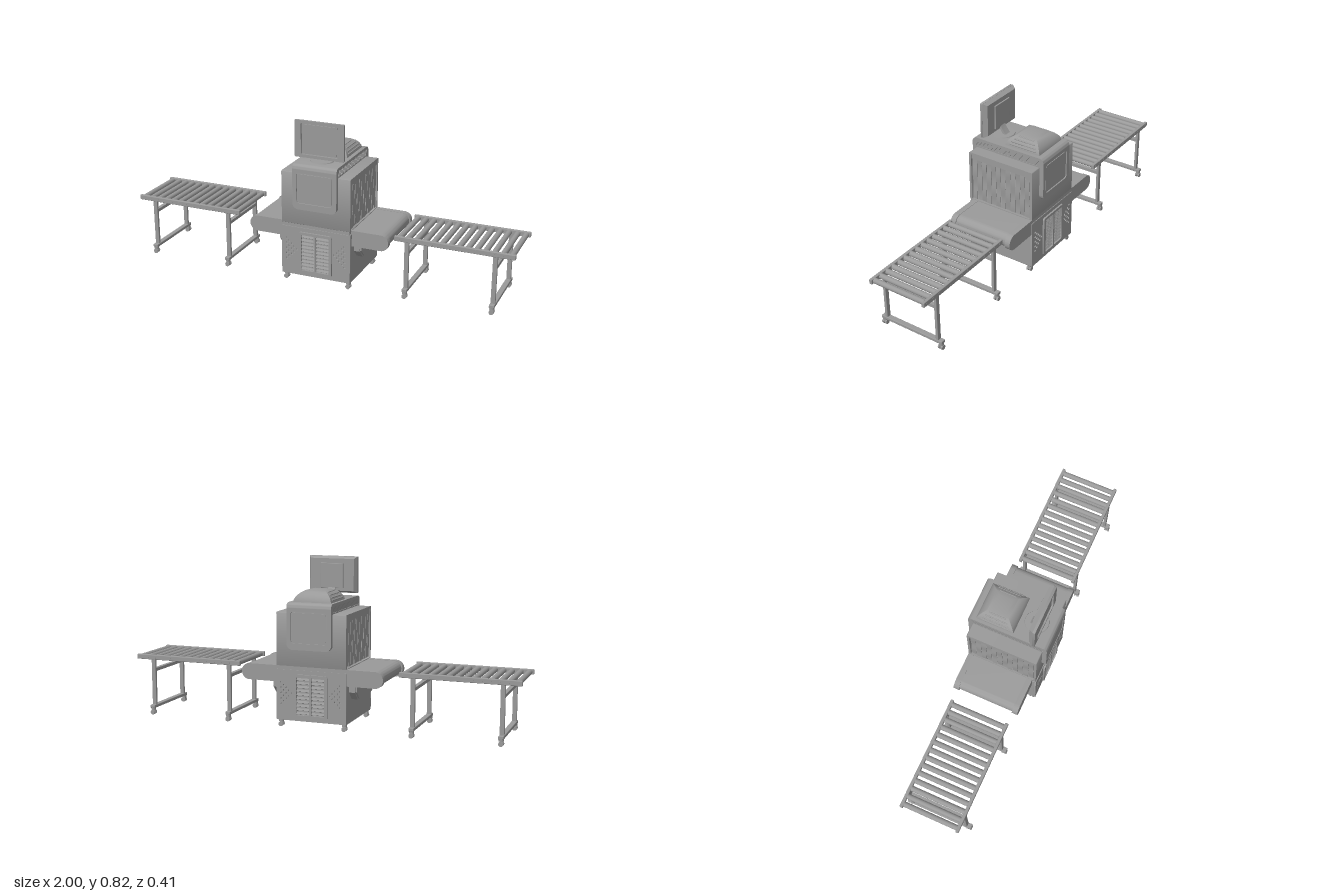
import * as THREE from 'three';
import { toCreasedNormals } from 'three/addons/utils/BufferGeometryUtils.js';
import { RoundedBoxGeometry } from 'three/addons/geometries/RoundedBoxGeometry.js';

const mat = new THREE.MeshStandardMaterial({ color: 0x9a9a9a, side: THREE.DoubleSide });
const CX = 0.021; // scanner centre line

function add(parent, name, geo, x = 0, y = 0, z = 0) {
  const m = new THREE.Mesh(geo, mat);
  m.name = name;
  m.position.set(x, y, z);
  parent.add(m);
  return m;
}
const group = (parent, name) => {
  const g = new THREE.Group();
  g.name = name;
  parent.add(g);
  return g;
};
// box from min/max pairs
function box(parent, name, x0, x1, y0, y1, z0, z1, r = 0) {
  const s = [x1 - x0, y1 - y0, z1 - z0];
  const g = r ? new RoundedBoxGeometry(...s, 2, r) : new THREE.BoxGeometry(...s);
  return add(parent, name, g, (x0 + x1) / 2, (y0 + y1) / 2, (z0 + z1) / 2);
}
// rounded rectangle; rb = bottom radius, rt = top radius
function roundRect(x0, y0, x1, y1, rb, rt = rb, path = new THREE.Shape()) {
  path.moveTo(x0 + rb, y0).lineTo(x1 - rb, y0);
  if (rb) path.absarc(x1 - rb, y0 + rb, rb, -Math.PI / 2, 0);
  path.lineTo(x1, y1 - rt);
  if (rt) path.absarc(x1 - rt, y1 - rt, rt, 0, Math.PI / 2);
  path.lineTo(x0 + rt, y1);
  if (rt) path.absarc(x0 + rt, y1 - rt, rt, Math.PI / 2, Math.PI);
  path.lineTo(x0, y0 + rb);
  if (rb) path.absarc(x0 + rb, y0 + rb, rb, Math.PI, Math.PI * 1.5);
  return path;
}
const hole = (x0, y0, x1, y1, r) => roundRect(x0, y0, x1, y1, r, r, new THREE.Path());
const points = list => list.map(q => new THREE.Vector2(...q));
const extrude = (shape, depth) =>
  toCreasedNormals(new THREE.ExtrudeGeometry(shape, { depth, bevelEnabled: false, curveSegments: 6 }), 0.6);
// shape drawn as (-z, y), extruded along x
const extrudeX = (shape, depth) => extrude(shape, depth).rotateY(Math.PI / 2);

// twin-wheel caster
function caster(parent, x, z) {
  const c = group(parent, 'caster');
  c.position.set(x, 0, z);
  for (const d of [-1, 1]) add(c, 'casterWheel', new THREE.CylinderGeometry(0.012, 0.012, 0.009, 16).rotateX(Math.PI / 2), 0, 0.012, d * 0.008);
  box(c, 'casterFork', -0.008, 0.008, 0.01, 0.03, -0.004, 0.004);
  add(c, 'casterPlate', new THREE.CylinderGeometry(0.012, 0.012, 0.012, 14), 0, 0.03, 0);
}

function rollerTable(parent, name, x0, x1, legXs) {
  const t = group(parent, name);
  t.position.z = -0.006;
  for (const s of [-1, 1]) box(t, 'sideRail', x0, x1, 0.285, 0.31, s * 0.148 - 0.008, s * 0.148 + 0.008, 0.003);
  const n = 14, pitch = (x1 - x0) / n;
  for (let i = 0; i < n; i++) {
    const x = x0 + pitch * (i + 0.5);
    add(t, 'roller', new THREE.CylinderGeometry(0.0135, 0.0135, 0.284, 14).rotateX(Math.PI / 2), x, 0.297, 0);
    add(t, 'rollerAxle', new THREE.CylinderGeometry(0.006, 0.006, 0.314, 8).rotateX(Math.PI / 2), x, 0.297, 0);
  }
  for (const x of legXs) {
    const f = group(t, 'legFrame');
    for (const s of [-1, 1]) {
      box(f, 'leg', x - 0.011, x + 0.011, 0.045, 0.29, s * 0.147 - 0.007, s * 0.147 + 0.007, 0.002);
      caster(f, x, s * 0.163);
    }
    box(f, 'lowerCrossbar', x - 0.013, x + 0.013, 0.034, 0.05, -0.175, 0.175, 0.003);
    box(f, 'upperCrossbar', x - 0.01, x + 0.01, 0.224, 0.24, -0.142, 0.142);
  }
}

// front or back cover, built facing +z
function servicePanel(parent) {
  const p = group(parent, 'servicePanel');
  const cover = roundRect(-0.182, 0.037, 0.182, 0.29, 0.004);
  cover.holes.push(hole(-0.078, 0.066, 0.078, 0.259, 0.004));
  // triangular fields of vent holes, widest at the outside
  for (const s of [-1, 1]) for (let c = 0; c < 5; c++) for (let r = 0; r <= c; r++)
    cover.holes.push(new THREE.Path().absarc(s * (0.1 + c * 0.0135), 0.172 + (r - c / 2) * 0.027, 0.0058, 0, Math.PI * 2));
  add(p, 'cover', extrude(cover, 0.009), 0, 0, 0.178);
  const frame = roundRect(-0.088, 0.055, 0.088, 0.27, 0.012);
  for (const s of [-1, 1]) frame.holes.push(hole(s * 0.039 - 0.034, 0.068, s * 0.039 + 0.034, 0.257, 0.006));
  add(p, 'louvreFrame', extrude(frame, 0.012), 0, 0, 0.184);
  for (const s of [-1, 1]) for (let i = 0; i < 10; i++) {
    const slat = add(p, 'louvreSlat', new THREE.BoxGeometry(0.068, 0.011, 0.003), s * 0.039, 0.078 + i * 0.0187, 0.188);
    slat.rotation.x = -0.5;
  }
}

// hood face with a groove outlining its rounded panel
function hoodArm(parent) {
  const a = group(parent, 'hoodArm');
  add(a, 'armEnd', extrude(roundRect(-0.115, 0.393, 0.115, 0.5, 0.028, 0), 0.017), 0, 0, 0.184);
  const skin = roundRect(-0.115, 0.393, 0.115, 0.597, 0.028, 0);
  skin.holes.push(hole(-0.094, 0.425, 0.094, 0.58, 0.016));
  add(a, 'armSkin', extrude(skin, 0.007), 0, 0, 0.2);
  add(a, 'inset', extrude(roundRect(-0.088, 0.431, 0.088, 0.574, 0.011), 0.005), 0, 0, 0.2);
  return a;
}

function curtain(parent, x) {
  const c = group(parent, 'curtain');
  for (let i = 0; i < 12; i++) {
    const g = new THREE.BoxGeometry(0.003, 0.225, 0.027, 1, 16, 1), p = g.attributes.position;
    for (let k = 0; k < p.count; k++) {
      const y = p.getY(k);
      p.setZ(k, p.getZ(k) * (0.985 + 0.035 * Math.sin(y * 90 + i * 2)));
      p.setX(k, p.getX(k) + 0.002 * Math.sin(y * 45 + i * 2.3));
    }
    g.computeVertexNormals();
    add(c, 'curtainStrip', toCreasedNormals(g, 0.6), x, 0.428, 0.154 - i * 0.028);
  }
}

function monitor(parent) {
  const m = group(parent, 'monitor');
  m.position.x = 0.0235;
  const bezel = roundRect(-0.128, 0.64, 0.128, 0.824, 0.004);
  bezel.holes.push(hole(-0.095, 0.655, 0.095, 0.81, 0.003));
  add(m, 'bezel', extrude(bezel, 0.013), 0, 0, 0.134);
  box(m, 'screen', -0.089, 0.089, 0.661, 0.804, 0.13, 0.14);
  const back = new THREE.BoxGeometry(0.256, 0.184, 0.022), p = back.attributes.position;
  for (let i = 0; i < p.count; i++) if (p.getZ(i) < 0) { p.setX(i, p.getX(i) * 0.9); p.setY(i, p.getY(i) * 0.88); }
  back.computeVertexNormals();
  add(m, 'backShell', back, 0, 0.732, 0.124);
  box(m, 'backPlate', -0.06, 0.06, 0.665, 0.79, 0.106, 0.114, 0.002);
  const neck = new THREE.Shape(points([[-0.107, 0.67], [-0.1, 0.655], [-0.077, 0.625], [-0.094, 0.625], [-0.112, 0.65]]));
  add(m, 'neck', extrudeX(neck, 0.036), -0.018, 0, 0);
  add(m, 'basePlate', new THREE.CylinderGeometry(0.058, 0.06, 0.005, 28), 0, 0.6235, 0.105);
}

export function createModel() {
  const root = new THREE.Group();
  root.name = 'baggageScanner';
  rollerTable(root, 'rightRollerTable', -1, -0.415, [-0.912, -0.484]);
  rollerTable(root, 'leftRollerTable', 0.413, 1, [0.476, 0.906]);

  // lower cabinet
  const low = group(root, 'lowerCabinet');
  low.position.x = CX;
  box(low, 'cabinetBody', -0.182, 0.182, 0.035, 0.291, -0.179, 0.179, 0.003);
  box(low, 'cabinetTop', -0.178, 0.178, 0.288, 0.306, -0.183, 0.183);
  servicePanel(low);
  const rear = group(low, 'rearSide');
  rear.rotation.y = Math.PI;
  servicePanel(rear);
  // drive pods under the belt, stepped at the outer edge
  for (const [d, half] of [[0, 0.213], [0.006, 0.22]]) {
    const pod = new THREE.Shape(points([[-0.137 + d, 0.23 - d], [-0.137 + d, 0.192 + d / 2], [-0.095 + d / 2, 0.15 + d],
      [0.105 - d / 2, 0.15 + d], [0.144 - d, 0.19 + d / 2], [0.144 - d, 0.23 - d]]));
    add(low, 'drivePod', extrudeX(pod, half * 2), -half, 0, 0);
  }
  for (const x of [-0.166, 0.166]) for (const z of [0.164, -0.163]) caster(low, x, z);

  // belt conveyor with rounded side frames
  const belt = group(root, 'conveyor');
  add(belt, 'belt', extrude(roundRect(-0.338, 0.233, 0.383, 0.3065, 0.0365), 0.294), 0, 0, -0.156);
  for (const z of [0.136, -0.184]) add(belt, 'sideFrame', extrude(roundRect(-0.345, 0.227, 0.39, 0.308, 0.04), 0.029), 0, 0, z);

  // scanning tunnel, open at both ends
  const tunnel = group(root, 'tunnel');
  const ring = roundRect(-0.184, 0.306, 0.184, 0.572, 0.002, 0.006);
  ring.holes.push(hole(-0.172, 0.31, 0.172, 0.562, 0.002));
  add(tunnel, 'tunnelShell', extrudeX(ring, 0.362), CX - 0.181, 0, 0);
  for (const x of [CX - 0.174, CX + 0.174]) {
    curtain(tunnel, x);
    box(tunnel, 'curtainRail', x - 0.004, x + 0.004, 0.538, 0.564, -0.173, 0.173);
  }

  // hood wrapping over the tunnel, with slanted vents on its sides
  const hood = group(root, 'hood');
  hood.position.x = 0.024;
  const arch = () => new THREE.Shape().moveTo(-0.201, 0.43).lineTo(-0.184, 0.43).lineTo(-0.184, 0.571).lineTo(0.184, 0.571)
    .lineTo(0.184, 0.43).lineTo(0.201, 0.43).lineTo(0.201, 0.597).lineTo(0.207, 0.597).absarc(0.182, 0.597, 0.025, 0, Math.PI / 2)
    .lineTo(-0.182, 0.622).absarc(-0.182, 0.597, 0.025, Math.PI / 2, Math.PI).lineTo(-0.201, 0.597);
  add(hood, 'hoodCore', extrudeX(arch(), 0.218), -0.109, 0, 0);
  for (const x of [-0.115, 0.109]) {
    const plate = arch();
    for (let i = 0; i < 20; i++) {
      const u = -0.174 + i * 0.0183;
      plate.holes.push(new THREE.Path(points([[u - 0.015, 0.58], [u - 0.013, 0.577], [u - 0.007, 0.577], [u + 0.015, 0.606], [u + 0.013, 0.609], [u + 0.007, 0.609]])));
    }
    add(hood, 'ventPlate', extrudeX(plate, 0.006), x, 0, 0);
  }
  hoodArm(hood);
  hoodArm(hood).rotation.y = Math.PI;

  // domed four-sided cover with long slats on its flanks
  const cover = group(root, 'topCover');
  cover.position.set(CX, 0, -0.072);
  const profile = points([[0.098, 0.62], [0.096, 0.632], [0.088, 0.648], [0.074, 0.663], [0.056, 0.674], [0.036, 0.679], [0, 0.68]]);
  const dome = new THREE.LatheGeometry(profile.map(p => p.setX(p.x * Math.SQRT2)), 4).rotateY(Math.PI / 4);
  add(cover, 'dome', toCreasedNormals(dome, 0.6));
  const slats = [[0.094, 0.634, 0.075], [0.087, 0.646, 0.07], [0.077, 0.658, 0.06], [0.061, 0.669, 0.045]];
  for (const s of [-1, 1]) for (const [x, y, half] of slats)
    add(cover, 'coverSlat', new RoundedBoxGeometry(0.008, 0.008, half * 2, 2, 0.0035), s * x, y, 0);

  monitor(root);
  return root;
}
